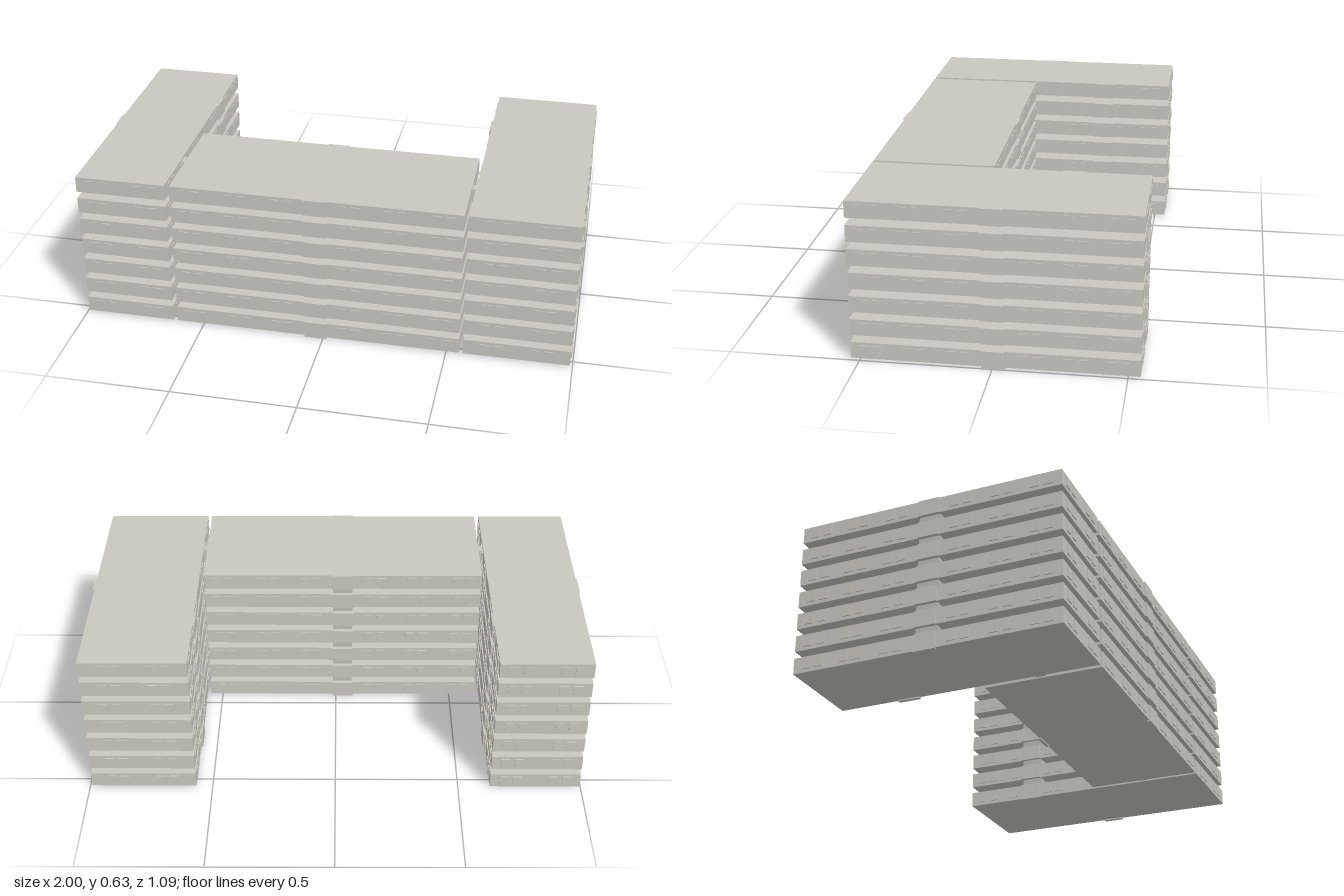
import * as THREE from 'three';

export function createModel() {
  const model = new THREE.Group();
  model.name = 'apartmentBlock';
  const concrete = new THREE.MeshStandardMaterial({ color: 0xc8c8c0 });
  concrete.name = 'concrete';
  const coreGrey = new THREE.MeshStandardMaterial({ color: 0xbebeb6 });
  coreGrey.name = 'core grey';

  // Box given by its minimum and maximum corners
  const box = (parent, name, x0, x1, y0, y1, z0, z1, material = concrete) => {
    const mesh = new THREE.Mesh(new THREE.BoxGeometry(x1 - x0, y1 - y0, z1 - z0), material);
    mesh.position.set((x0 + x1) / 2, (y0 + y1) / 2, (z0 + z1) / 2);
    mesh.name = name;
    parent.add(mesh);
  };

  const FLOORS = 7, PITCH = 0.0935, BASE = 0.005, HEIGHT = 0.065;
  const longRow = [-0.505, -0.315, -0.135, 0.135, 0.315, 0.505];
  const wingRow = [-0.46, -0.3, -0.135, 0.135, 0.3, 0.46];
  const endRow = [-0.1, 0.1];

  // A pair of shallow window frames on a wall; axis is the wall's normal
  const windowPair = (parent, axis, wall, centre, y) => {
    for (const s of [-1, 1]) {
      const a = centre + s * 0.027 - 0.018, b = a + 0.036;
      const w0 = wall - 0.004, w1 = wall + 0.004;
      if (axis === 'x') box(parent, 'window', w0, w1, y + 0.014, y + 0.053, a, b);
      else box(parent, 'window', a, b, y + 0.014, y + 0.053, w0, w1);
    }
  };

  // Footprints, stair cores and entrance plates of the three buildings
  const buildings = [
    { name: 'rightWing', x: [-0.995, -0.63], z: [-0.545, 0.535], side: wingRow, end: endRow,
      core: [-0.985, -0.865, -0.045, 0.042],
      plates: [[-1, -0.985, -0.045, 0.042], [-0.638, -0.622, -0.295, -0.205]] },
    { name: 'leftWing', x: [0.567, 0.99], z: [-0.545, 0.535], side: wingRow, end: endRow,
      core: [0.573, 0.695, -0.29, -0.203],
      plates: [[0.98, 0.998, -0.045, 0.042], [0.559, 0.575, -0.295, -0.205]] },
    { name: 'middleBuilding', x: [-0.61, 0.55], z: [0.06, 0.535], side: [], end: longRow,
      core: [-0.07, 0.012, 0.07, 0.19],
      plates: [[-0.075, 0.015, 0.527, 0.541], [-0.075, 0.015, 0.053, 0.067]] },
  ];

  for (const b of buildings) {
    const group = new THREE.Group();
    group.name = b.name;
    model.add(group);
    const cx = (b.x[0] + b.x[1]) / 2, cz = (b.z[0] + b.z[1]) / 2;
    for (let i = 0; i < FLOORS; i++) {
      const y = BASE + i * PITCH;
      box(group, 'storey', b.x[0], b.x[1], y, y + HEIGHT, b.z[0], b.z[1]);
      for (const wall of b.x) for (const c of b.side) windowPair(group, 'x', wall, cz + c, y);
      for (const wall of b.z) for (const c of b.end) windowPair(group, 'z', wall, cx + c, y);
      for (const [x0, x1, z0, z1] of b.plates) {
        box(group, 'stairwellPlate', x0, x1, i ? y : 0, y + HEIGHT, z0, z1);
      }
      // Stair core bridging the gap to the next storey
      if (i < FLOORS - 1) {
        const [x0, x1, z0, z1] = b.core;
        box(group, 'stairCore', x0, x1, y + HEIGHT, y + PITCH, z0, z1, coreGrey);
      }
    }
  }

  // Short links between the middle building and the wings
  for (let i = 0; i < FLOORS; i++) {
    const y = BASE + i * PITCH;
    box(model, 'link', -0.632, -0.608, y + 0.005, y + 0.057, 0.27, 0.31);
    box(model, 'link', 0.548, 0.569, y + 0.005, y + 0.057, 0.27, 0.31);
  }
  return model;
}
